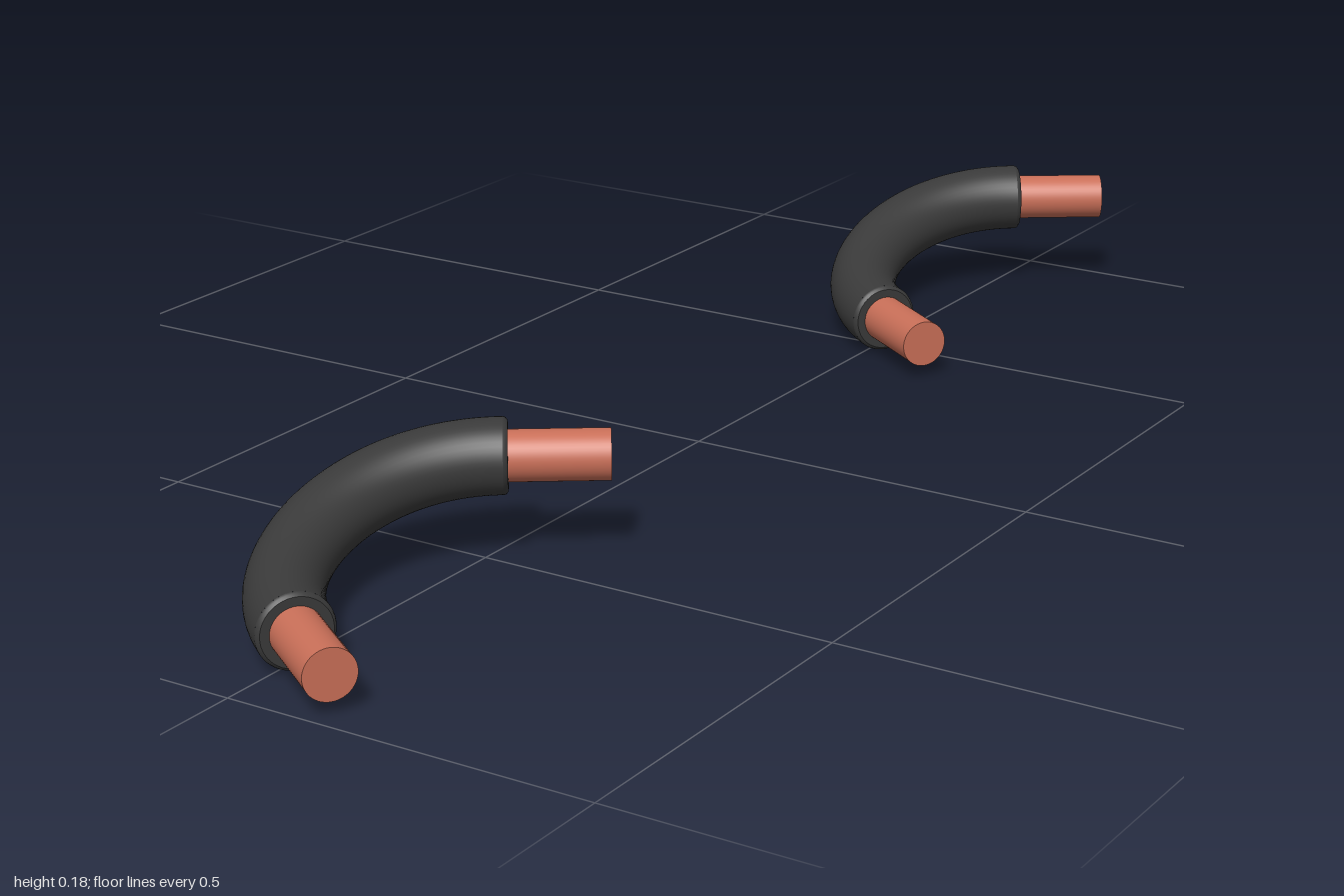
import * as THREE from 'three';

const SLEEVE_R = 0.049, CORE_R = 0.033, BEVEL = 0.006;
const MID_Y = 0.0915, HALF_RISE = 0.0425;

const copper = new THREE.MeshStandardMaterial({ color: 0xc96f58 });
const rubber = new THREE.MeshStandardMaterial({ color: 0x3a3a3a });

// s = 1: low front end, s = -1: high rear end
const point = (x, z, s) => new THREE.Vector3(x, MID_Y - s * HALF_RISE, s * z);

function named(name, geometry, material) {
  const mesh = new THREE.Mesh(geometry, material);
  mesh.name = name;
  return mesh;
}

function createCable() {
  const cable = new THREE.Group();

  // Curved insulating sleeve
  const curve = new THREE.CubicBezierCurve3(
    point(0.018, 0.207, 1), point(-0.14, 0.097, 1),
    point(-0.14, 0.097, -1), point(0.018, 0.207, -1));
  cable.add(named('sleeve', new THREE.TubeGeometry(curve, 64, SLEEVE_R, 48), rubber));

  for (const s of [1, -1]) {
    // End group with its y axis along the wire's outward direction
    const end = new THREE.Group();
    end.name = s > 0 ? 'frontEnd' : 'rearEnd';
    const direction = new THREE.Vector3(0.158, 0, s * 0.11).normalize();
    end.position.copy(point(0.018, 0.207, s));
    end.quaternion.setFromUnitVectors(new THREE.Vector3(0, 1, 0), direction);

    // Rounded rim closing the sleeve around the wire
    const rim = [[SLEEVE_R, 0], [0.0478, 0.0035], [0.0445, BEVEL], [0.0445, BEVEL], [CORE_R - 0.002, BEVEL]];
    end.add(named('sleeveRim',
      new THREE.LatheGeometry(rim.map(([r, y]) => new THREE.Vector2(r, y)), 48), rubber));

    // Bare straight conductor, starting a little inside the sleeve
    const core = named('bareWire', new THREE.CylinderGeometry(CORE_R, CORE_R, 0.144, 48), copper);
    core.position.y = 0.062;
    end.add(core);
    cable.add(end);
  }
  return cable;
}

export function createModel() {
  const model = new THREE.Group();
  model.name = 'cablePair';
  for (const s of [1, -1]) {
    const cable = createCable();
    cable.name = s > 0 ? 'frontCable' : 'rearCable';
    cable.position.z = s * 0.69;
    model.add(cable);
  }
  return model;
}
